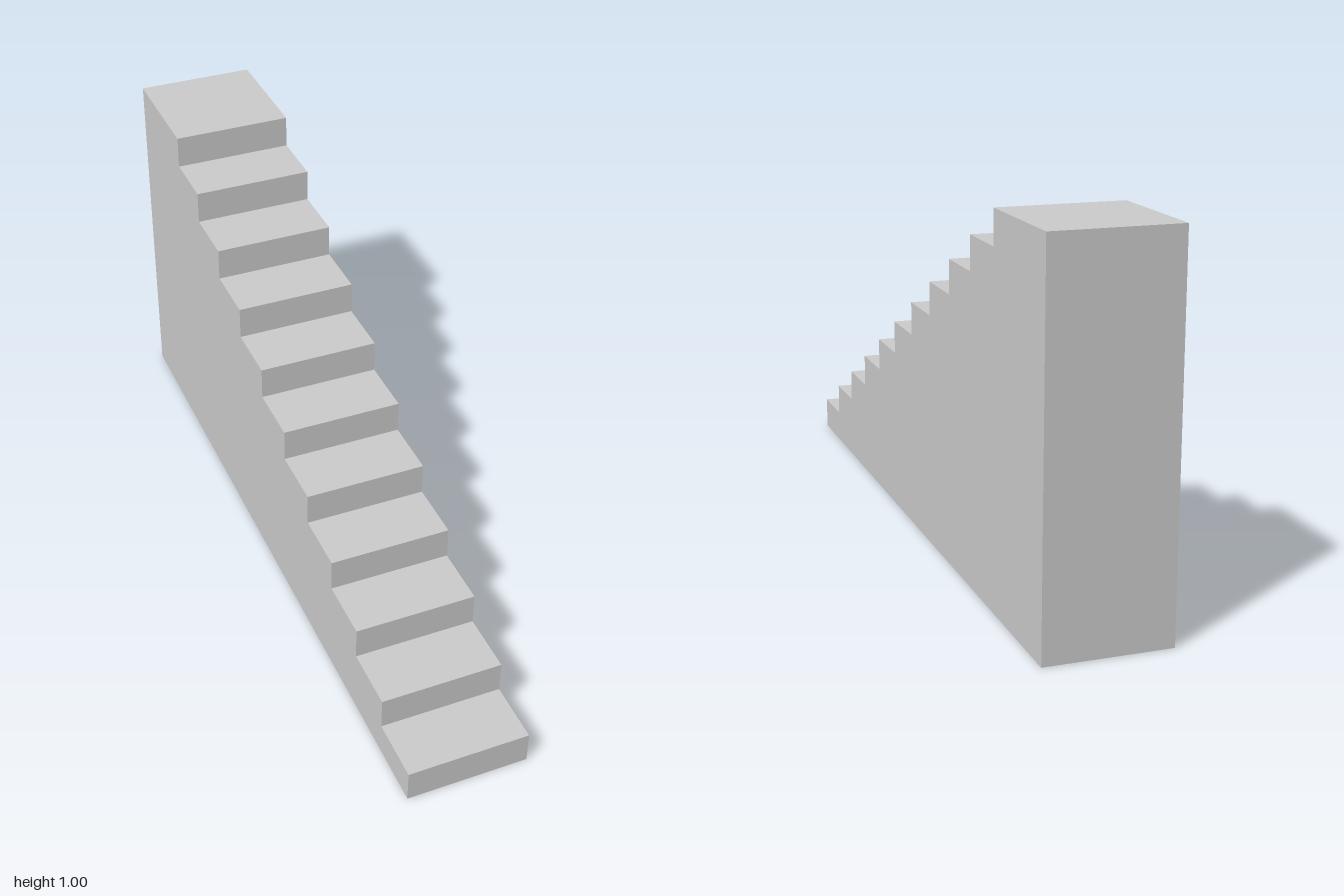
import * as THREE from 'three';

const STEPS = 11;
const HEIGHT = 1;
const LENGTH = 2;
const WIDTH = 1 / 3;
const RISE = HEIGHT / STEPS;
const RUN = LENGTH / (STEPS + 1); // the top landing is two runs deep

export function createModel() {
  const group = new THREE.Group();
  group.name = 'staircase';

  // Stepped side profile, climbing from front to back
  const profile = new THREE.Shape();
  profile.moveTo(-LENGTH / 2, 0);
  profile.lineTo(LENGTH / 2, 0);
  profile.lineTo(LENGTH / 2, HEIGHT);
  for (let i = STEPS - 1; i >= 0; i--) {
    const front = -LENGTH / 2 + i * RUN;
    profile.lineTo(front, (i + 1) * RISE);
    if (i > 0) profile.lineTo(front, i * RISE);
  }
  profile.closePath();

  // Solid flight: extrude across the width, then turn the low end to +z
  const geometry = new THREE.ExtrudeGeometry(profile, { depth: WIDTH, bevelEnabled: false });
  geometry.translate(0, 0, -WIDTH / 2);
  geometry.rotateY(Math.PI / 2);

  const flight = new THREE.Mesh(
    geometry,
    new THREE.MeshStandardMaterial({ color: 0xcccccc, flatShading: true })
  );
  flight.name = 'stairFlight';
  group.add(flight);

  return group;
}
